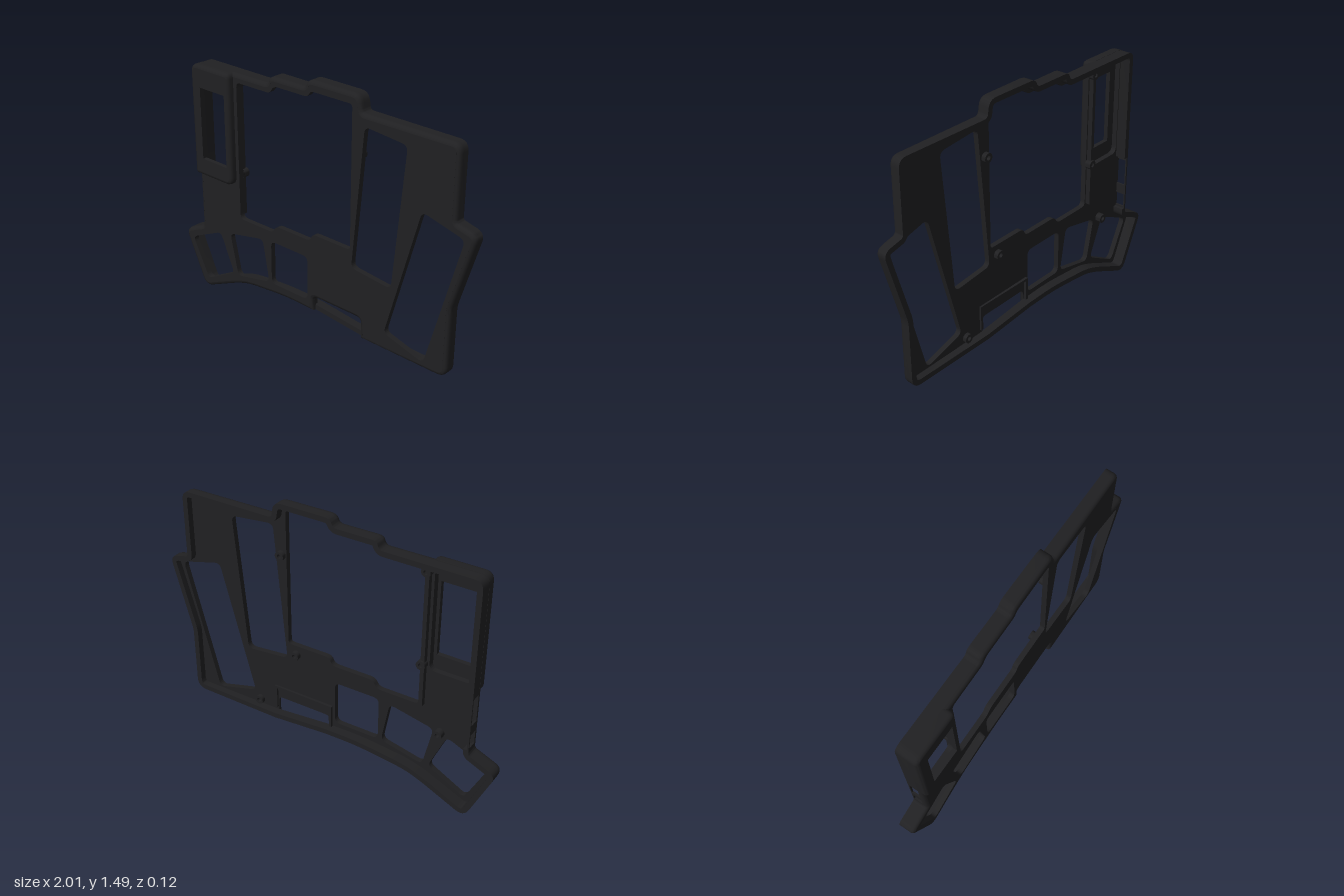
import * as THREE from 'three';
import { toCreasedNormals } from 'three/addons/utils/BufferGeometryUtils.js';

const BACK = -0.065, SKIN = 0.03, BEVEL = 0.02, WALL = 0.03;
const front = x => 0.014 - 0.015 * x; // face slopes gently from side to side

// Rounds the corners of a polygon given as [x, y, radius]
function rounded(pts, open = false) {
  const out = [];
  pts.forEach(([x, y, r = 0], i) => {
    const p = new THREE.Vector2(x, y);
    if (!r || (open && (i === 0 || i === pts.length - 1))) { out.push(p); return; }
    const toward = q => {
      const v = new THREE.Vector2(q[0] - x, q[1] - y), l = v.length();
      return p.clone().addScaledVector(v, Math.min(r, l * 0.48) / l);
    };
    const a = toward(pts[(i + pts.length - 1) % pts.length]);
    const b = toward(pts[(i + 1) % pts.length]);
    out.push(...new THREE.QuadraticBezierCurve(a, p, b).getPoints(6));
  });
  return out;
}

// Mitred inward direction at each point of a clockwise path
function inwards(path, open = false) {
  const n = path.length;
  const normal = (a, b) => new THREE.Vector2(b.y - a.y, a.x - b.x).normalize();
  return path.map((p, i) => {
    let a = normal(path[(i + n - 1) % n], p), b = normal(p, path[(i + 1) % n]);
    if (open && i === 0) a = b;
    if (open && i === n - 1) b = a;
    return a.clone().add(b).divideScalar(1 + a.dot(b));
  });
}

// Sweeps a closed profile of [inset, z(x)] along a clockwise path
function sweep(path, profile, open = false) {
  const dirs = inwards(path, open), m = profile.length, n = path.length, pos = [], idx = [];
  path.forEach((p, i) => profile.forEach(([t, z]) =>
    pos.push(p.x + dirs[i].x * t, p.y + dirs[i].y * t, z(p.x))));
  for (let i = 0; i < (open ? n - 1 : n); i++) {
    for (let j = 0; j < m; j++) {
      const k = (i + 1) % n, l = (j + 1) % m;
      const a = i * m + j, b = i * m + l, c = k * m + l, d = k * m + j;
      idx.push(a, b, d, b, c, d);
    }
  }
  if (open) {
    const e = (n - 1) * m;
    for (let j = 1; j < m - 1; j++) idx.push(0, j + 1, j, e, e + j, e + j + 1);
  }
  const g = new THREE.BufferGeometry();
  g.setAttribute('position', new THREE.Float32BufferAttribute(pos, 3));
  g.setIndex(idx);
  return toCreasedNormals(g, 0.7);
}

// Flat sheet with holes whose front follows zFront(x)
function sheet(path, holes, zFront, depth) {
  const dirs = inwards(path);
  const shape = new THREE.Shape(path.map((p, i) => p.clone().addScaledVector(dirs[i], BEVEL)));
  shape.holes = holes.map(h => new THREE.Path(h));
  const g = new THREE.ExtrudeGeometry(shape, { depth, bevelEnabled: false });
  const p = g.attributes.position;
  for (let i = 0; i < p.count; i++) p.setZ(i, p.getZ(i) - depth + zFront(p.getX(i)));
  g.computeVertexNormals();
  return g;
}

// Edge profile with a rounded front corner
const edgeProfile = (zBack, zFront) => [
  [0, zBack], [0, x => zFront(x) - BEVEL], [0.0027, x => zFront(x) - 0.01],
  [0.01, x => zFront(x) - 0.0027], [BEVEL, zFront], [BEVEL, zBack]];

const rect = (x0, y0, x1, y1, r = 0) => [[x0, y1, r], [x1, y1, r], [x1, y0, r], [x0, y0, r]];

// Case outline, clockwise, starting and ending at the side ports
const outlineTop = [
  [-0.86, 0.75], [-0.86, 1.395, 0.05], [-0.312, 1.395, 0.02], [-0.297, 1.44, 0.03],
  [-0.052, 1.44, 0.02], [-0.033, 1.485, 0.04], [0.3, 1.485, 0.05], [0.315, 1.395, 0.02],
  [0.89, 1.395, 0.05], [0.89, 1.0, 0.015], [1.015, 0.97, 0.05], [0.89, 0.53, 0.03],
  [0.89, 0.13, 0.06], [0.335, 0.13]];
const outlineBottom = [
  [0, 0.16], [-0.2, 0.165, 0.1], [-0.5, 0.135, 0.08], [-0.6, 0.1, 0.05],
  [-0.865, -0.02, 0.06], [-1.02, 0.32, 0.05], [-0.86, 0.39, 0.015], [-0.86, 0.42]];
const notch = [[0.335, 0.25, 0.03], [0, 0.25, 0.03]];

const windowHole = [
  [-0.54, 1.35, 0.03], [-0.295, 1.35, 0.02], [-0.265, 1.395, 0.03], [-0.03, 1.395, 0.02],
  [-0.01, 1.43, 0.02], [0.26, 1.43, 0.02], [0.26, 0.635, 0.02], [0, 0.635, 0.03],
  [-0.015, 0.59, 0.03], [-0.265, 0.59, 0.03], [-0.29, 0.545, 0.03], [-0.54, 0.545, 0.03]];
const keyHoles = [
  [[0.34, 1.335], [0.6, 1.31], [0.53, 0.51], [0.27, 0.535]],
  [[0.7, 1.0], [0.95, 0.935], [0.75, 0.165], [0.495, 0.235]],
  [[-0.305, 0.485], [-0.035, 0.485], [-0.035, 0.22], [-0.305, 0.22]],
  [[-0.63, 0.42], [-0.37, 0.475], [-0.325, 0.22], [-0.575, 0.165]],
  [[-0.95, 0.29], [-0.71, 0.4], [-0.61, 0.17], [-0.83, 0.05]],
].map(h => h.map(([x, y]) => [x, y, 0.035]));

export function createModel() {
  const group = new THREE.Group();
  const material = new THREE.MeshStandardMaterial({ color: 0x202022 });
  material.side = THREE.DoubleSide;
  const add = (name, geometry) => {
    const mesh = new THREE.Mesh(geometry, material);
    mesh.name = name;
    group.add(mesh);
    return mesh;
  };
  const box = (name, x0, x1, y0, y1, z0, z1) =>
    add(name, new THREE.BoxGeometry(x1 - x0, y1 - y0, z1 - z0))
      .position.set((x0 + x1) / 2, (y0 + y1) / 2, (z0 + z1) / 2);

  // Front face with key openings, rounded edge and lower notch
  const face = rounded([...outlineTop, ...notch, ...outlineBottom]);
  const holes = [windowHole, ...keyHoles, rect(-0.825, 0.775, -0.585, 1.36, 0.04)].map(h => rounded(h));
  add('facePlate', sheet(face, holes, front, SKIN));
  add('faceEdge', sweep(face, edgeProfile(x => front(x) - SKIN, front)));

  // Perimeter wall, open at the side ports
  const wallTop = x => front(x) - SKIN + 0.002, back = () => BACK;
  add('perimeterWall', sweep(rounded([...outlineTop, ...outlineBottom], true),
    [[0, back], [0, wallTop], [WALL, wallTop], [WALL, back]], true));

  // Thin bars framing the two side ports
  box('portSill', -0.86, -0.85, 0.42, 0.75, BACK, -0.057);
  for (const [y0, y1] of [[0.42, 0.43], [0.51, 0.57], [0.73, 0.75]])
    box('portPost', -0.86, -0.85, y0, y1, -0.057, -0.002);

  // Raised hollow display cover
  const coverFront = () => 0.06;
  const cover = rounded([[-0.861, 0.745, 0.02], [-0.861, 1.396, 0.05],
    [-0.563, 1.396, 0.03], [-0.563, 0.745, 0.05]]);
  add('displayCover', sheet(cover, [rounded(rect(-0.79, 0.85, -0.6, 1.27))], coverFront, 0.025));
  add('displayCoverEdge', sweep(cover, edgeProfile(() => 0, coverFront)));

  // Inner rib beside the window and frame above the notch
  box('windowRib', -0.57, -0.548, 0.56, 1.37, -0.035, 0.0);
  box('notchFrameTop', -0.02, 0.355, 0.31, 0.325, -0.032, -0.01);
  for (const x of [-0.02, 0.34]) box('notchFrameSide', x, x + 0.015, 0.18, 0.31, -0.032, -0.01);

  // Screw posts with a bore
  const post = new THREE.LatheGeometry([[0.012, 0.03], [0.012, 0], [0.026, 0], [0.026, 0.035]]
    .map(([r, y]) => new THREE.Vector2(r, y)), 20);
  post.rotateX(Math.PI / 2);
  const postGeometry = toCreasedNormals(post, 0.7);
  for (const [x, y] of [[0.29, 1.17], [0.21, 0.58], [0.46, 0.19], [-0.555, 1.34], [-0.553, 0.81], [-0.67, 0.42]])
    add('screwPost', postGeometry).position.set(x, y, -0.045);
  return group;
}
